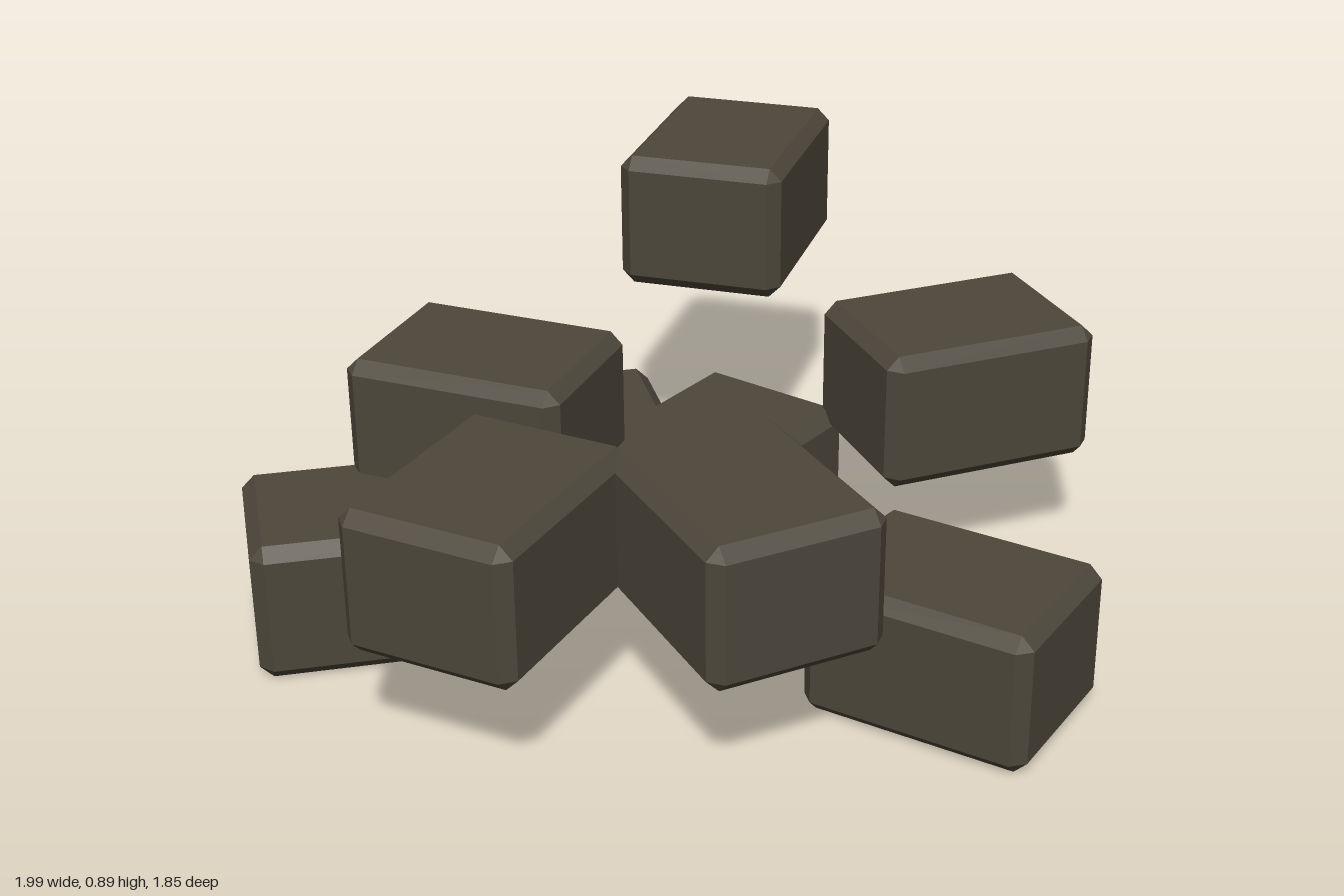
import * as THREE from 'three';
import { ConvexGeometry } from 'three/addons/geometries/ConvexGeometry.js';

// Block with every edge and corner chamfered
function chamferedBlock(w, h, d, c) {
  const points = [];
  for (const sx of [-1, 1]) for (const sy of [-1, 1]) for (const sz of [-1, 1]) {
    const x = w / 2, y = h / 2, z = d / 2;
    points.push(
      new THREE.Vector3(sx * x, sy * (y - c), sz * (z - c)),
      new THREE.Vector3(sx * (x - c), sy * y, sz * (z - c)),
      new THREE.Vector3(sx * (x - c), sy * (y - c), sz * z)
    );
  }
  return new ConvexGeometry(points);
}

export function createModel() {
  const group = new THREE.Group();
  group.name = 'stonePile';

  const stone = new THREE.MeshStandardMaterial({ color: 0x4d473b });
  stone.name = 'darkStone';
  stone.flatShading = true;

  const height = 0.335, layerStep = 0.28;
  const geometry = chamferedBlock(0.538, height, 0.41, 0.03);

  // Scattered blocks: name, x, z, heading of the long side in degrees, layer
  const blocks = [
    ['centreBlock', 0.235, -0.207, 0, 0],
    ['backCentreBlock', 0.085, -0.484, -50.5, 0],
    ['backRightLowBlock', -0.55, -0.623, 41, 0],
    ['frontBlock', -0.035, 0.635, 85, 0],
    ['backRightUpperBlock', -0.203, -0.543, 75, 1],
    ['rightBlock', -0.7, -0.105, -10, 1],
    ['frontRightBlock', -0.39, 0.325, 117, 1],
    ['frontLeftBlock', 0.6, 0.245, 32, 1],
    ['topBlock', 0.685, -0.497, -20, 2],
  ];
  for (const [name, x, z, heading, layer] of blocks) {
    const block = new THREE.Mesh(geometry, stone);
    block.name = name;
    block.position.set(x, height / 2 + layer * layerStep, z);
    block.rotation.y = -THREE.MathUtils.degToRad(heading);
    group.add(block);
  }
  return group;
}
